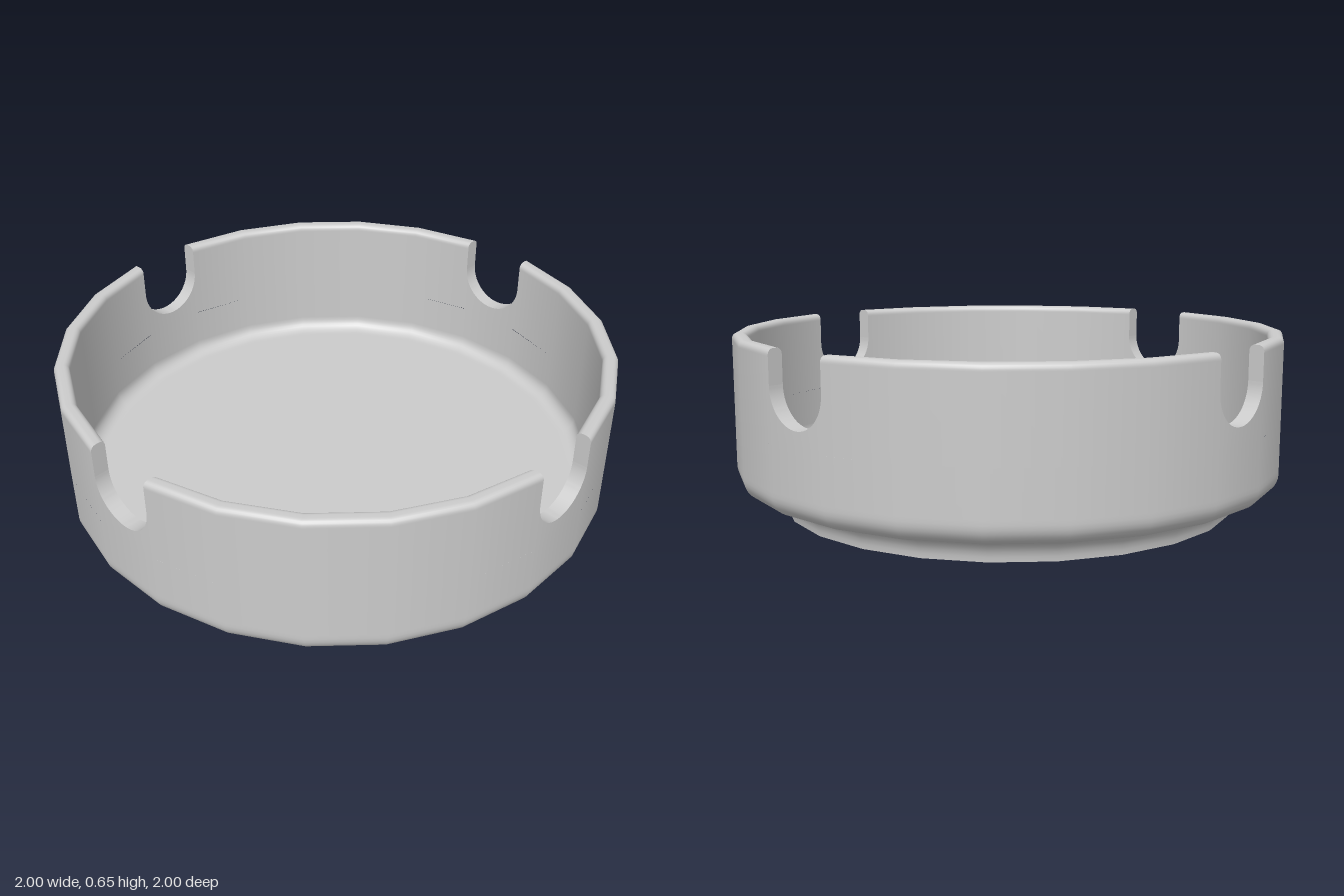
import * as THREE from 'three';
import { toCreasedNormals } from 'three/addons/utils/BufferGeometryUtils.js';

const SIDES = 24;
const HALF = Math.PI / SIDES;
const K = 1 / Math.cos(HALF);      // flat-side distance -> corner radius
const OUT = 1, INN = 0.945;        // wall faces
const TOP = 0.65, SPLIT = 0.34;    // rim height, height where the notched wall starts
const NOTCH = 0.131, NOTCH_Y = 0.53;

const material = new THREE.MeshStandardMaterial({ color: 0xcccccc });
const thin = new THREE.MeshStandardMaterial({ color: 0xcccccc, side: THREE.DoubleSide });

// Points of a circular arc, angles in quarter turns
function arc(cx, cy, r, from, to, n = 8) {
  return Array.from({ length: n + 1 }, (_, i) => {
    const a = (from + (to - from) * i / n) * Math.PI / 2;
    return [cx + r * Math.cos(a), cy + r * Math.sin(a)];
  });
}

function lathe(points, segments = SIDES) {
  const profile = points.map(([r, y]) => new THREE.Vector2(r * K, y));
  return new THREE.LatheGeometry(profile, segments, HALF, segments * 2 * HALF);
}

function add(parent, name, geometry, mat = material) {
  const mesh = new THREE.Mesh(geometry, mat);
  mesh.name = name;
  parent.add(mesh);
  return mesh;
}

// Rounded rim section, from the outer face over to the inner face
const rim = [...arc(OUT - 0.02, TOP - 0.02, 0.02, 0, 1, 5), ...arc(INN + 0.02, TOP - 0.02, 0.02, 1, 2, 5)];

// One wall section between two notches, its ends squared to the notch sides
function wallGeometry() {
  const points = [[OUT, SPLIT], [OUT, TOP - 0.025], ...rim, [INN, TOP - 0.025], [INN, SPLIT]];
  const g = lathe(points, 5);
  const p = g.attributes.position;
  for (let i = 0; i < points.length; i++) {
    p.setX(i, NOTCH);
    p.setZ(p.count - 1 - i, NOTCH);
  }
  return g;
}

// Flat end of a wall section beside the notch
function endGeometry() {
  const points = [[OUT, NOTCH_Y], ...rim, [INN, NOTCH_Y]];
  const shape = new THREE.Shape(points.map(([r, y]) => new THREE.Vector2(r, y)));
  return new THREE.ShapeGeometry(shape).rotateY(-Math.PI / 2);
}

// Wall panel under the U-shaped notch
function notchGeometry() {
  const s = new THREE.Shape();
  s.moveTo(-NOTCH, SPLIT);
  s.lineTo(NOTCH, SPLIT);
  s.lineTo(NOTCH, NOTCH_Y);
  s.absarc(0, NOTCH_Y, NOTCH, 0, -Math.PI, true);
  s.closePath();
  let g = new THREE.ExtrudeGeometry(s, { depth: OUT - INN, bevelEnabled: false, curveSegments: 24 });
  g.translate(0, 0, INN);
  g = toCreasedNormals(g, 0.5);
  // Shade the faces round like the neighbouring wall
  const p = g.attributes.position, n = g.attributes.normal, v = new THREE.Vector3();
  for (let i = 0; i < p.count; i++) {
    if (Math.abs(n.getZ(i)) < 0.99) continue;
    v.set(p.getX(i), 0, p.getZ(i)).normalize().multiplyScalar(Math.sign(n.getZ(i)));
    n.setXYZ(i, v.x, v.y, v.z);
  }
  return g;
}

export function createModel() {
  const model = new THREE.Group();
  model.name = 'ashtray';

  // Outside: hollow curve above the foot, then the rounded lower edge
  add(model, 'outerBowl', lathe([
    ...arc(0.92, 0, 0.09, 2, 1),
    ...arc(0.925, 0.165, 0.075, -1, 0),
    [OUT, 0.18], [OUT, SPLIT],
  ]));

  // Inside: wall, fillet and floor
  add(model, 'innerBowl', lathe([
    [INN, SPLIT], [INN, 0.2],
    ...arc(INN - 0.05, 0.195, 0.05, 0, -1),
    [0.885, 0.145], [0, 0.145],
  ]));

  // Foot ring and the recess under the floor
  add(model, 'footRing', lathe([[0.75, 0], [0.83, 0]]));
  add(model, 'undersideRecess', lathe([[0, 0.085], [0.65, 0.085], ...arc(0.665, 0, 0.085, 1, 0)]));

  // Four wall sections and four notches
  const wall = wallGeometry(), end = endGeometry(), notch = notchGeometry();
  for (let i = 0; i < 4; i++) {
    const quarter = new THREE.Group();
    quarter.name = 'wallQuarter' + (i + 1);
    quarter.rotation.y = i * Math.PI / 2;
    add(quarter, 'wallSection', wall);
    add(quarter, 'notchPanel', notch);
    for (const side of [-1, 1]) add(quarter, 'notchSide', end, thin).position.x = side * NOTCH;
    model.add(quarter);
  }
  return model;
}
